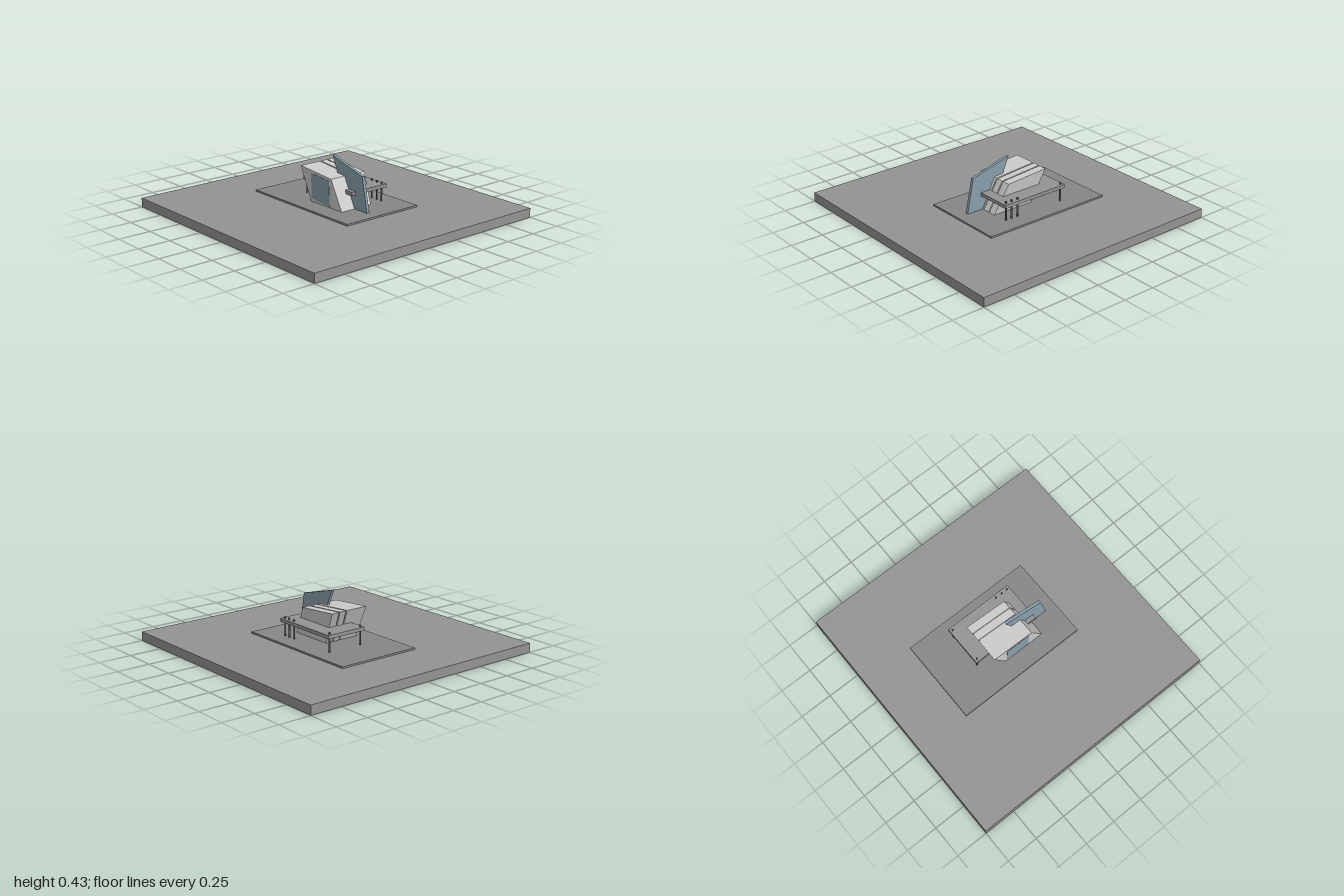
import * as THREE from 'three';

const BASE_Y = 0.083, TOP_Y = 0.33;

const paint = (color) => new THREE.MeshStandardMaterial({ color, flatShading: true });

function add(group, name, geometry, material) {
  const mesh = new THREE.Mesh(geometry, material);
  mesh.name = name;
  group.add(mesh);
  return mesh;
}

// Box given by its lower and upper limits on each axis
function boxBetween([x0, x1], [y0, y1], [z0, z1]) {
  return new THREE.BoxGeometry(x1 - x0, y1 - y0, z1 - z0)
    .translate((x0 + x1) / 2, (y0 + y1) / 2, (z0 + z1) / 2);
}

// Side profile of [z, y] points, spanning x from left(y) to right(y)
function slab(profile, left, right) {
  const shape = new THREE.Shape(profile.map(([z, y]) => new THREE.Vector2(z, y)));
  const geo = new THREE.ExtrudeGeometry(shape, { depth: 1, bevelEnabled: false });
  geo.rotateY(-Math.PI / 2);
  const p = geo.attributes.position;
  for (let i = 0; i < p.count; i++) {
    const y = p.getY(i);
    p.setX(i, p.getX(i) < -0.5 ? left(y) : right(y));
  }
  geo.computeVertexNormals();
  return geo;
}

// x position that leans evenly from the floor to the roof
const lean = (bottom, top) => (y) =>
  THREE.MathUtils.lerp(bottom, top, (y - BASE_Y) / (TOP_Y - BASE_Y));

export function createModel() {
  const model = new THREE.Group();
  const wall = paint(0xcccccc), stone = paint(0x939393), paving = paint(0x868686);
  const glass = paint(0x889eac), metal = paint(0x606060);

  // Ground and paved terrace
  add(model, 'ground', boxBetween([-1, 1], [0, 0.07], [-1, 1]), stone);
  add(model, 'terrace', boxBetween([-0.262, 0.4], [0.07, BASE_Y], [-0.587, 0.455]), paving);

  // House: three leaning blocks around a slightly recessed core
  const house = new THREE.Group();
  house.name = 'house';
  model.add(house);
  const outer = [[0.23, BASE_Y], [0.122, 0.303], [-0.217, TOP_Y], [-0.11, BASE_Y]];
  const inner = [[0.22, BASE_Y], [0.117, 0.294], [-0.204, 0.32], [-0.101, BASE_Y]];
  const blocks = [
    [[-0.12, -0.128], [0.03, 0.05]],
    [[0.038, 0.06], [0.09, 0.115]],
    [[0.098, 0.124], [0.155, 0.188]],
  ];
  for (const [l, r] of blocks) add(house, 'houseBlock', slab(outer, lean(...l), lean(...r)), wall);
  add(house, 'houseCore', slab(inner, lean(-0.11, -0.118), lean(0.145, 0.178)), wall);

  // Window on the right-hand wall, following its lean
  const pane = [[0.1, 0.09], [0.1, 0.285], [-0.1, 0.3], [-0.1, 0.105]];
  add(house, 'sideWindow', slab(pane, lean(-0.122, -0.13), lean(-0.115, -0.123)), glass);

  // Tall fin wall cutting through the roof
  const fin = [[0.365, BASE_Y], [0.312, 0.342], [-0.01, 0.43], [0.14, BASE_Y]];
  add(model, 'finWall', slab(fin, () => 0, () => 0.022), glass);

  // Canopy on thin posts
  add(model, 'canopy', boxBetween([-0.033, 0.295], [0.188, 0.215], [-0.308, 0.242]), stone);
  const posts = [[0.27, 0.217], [0.27, 0.168], [0.27, 0.113], [0.27, -0.288], [-0.01, -0.288]];
  for (const [x, z] of posts) {
    const post = add(model, 'canopyPost', new THREE.CylinderGeometry(0.006, 0.006, 0.147, 12), metal);
    post.position.set(x, BASE_Y + 0.0735, z);
  }
  return model;
}
